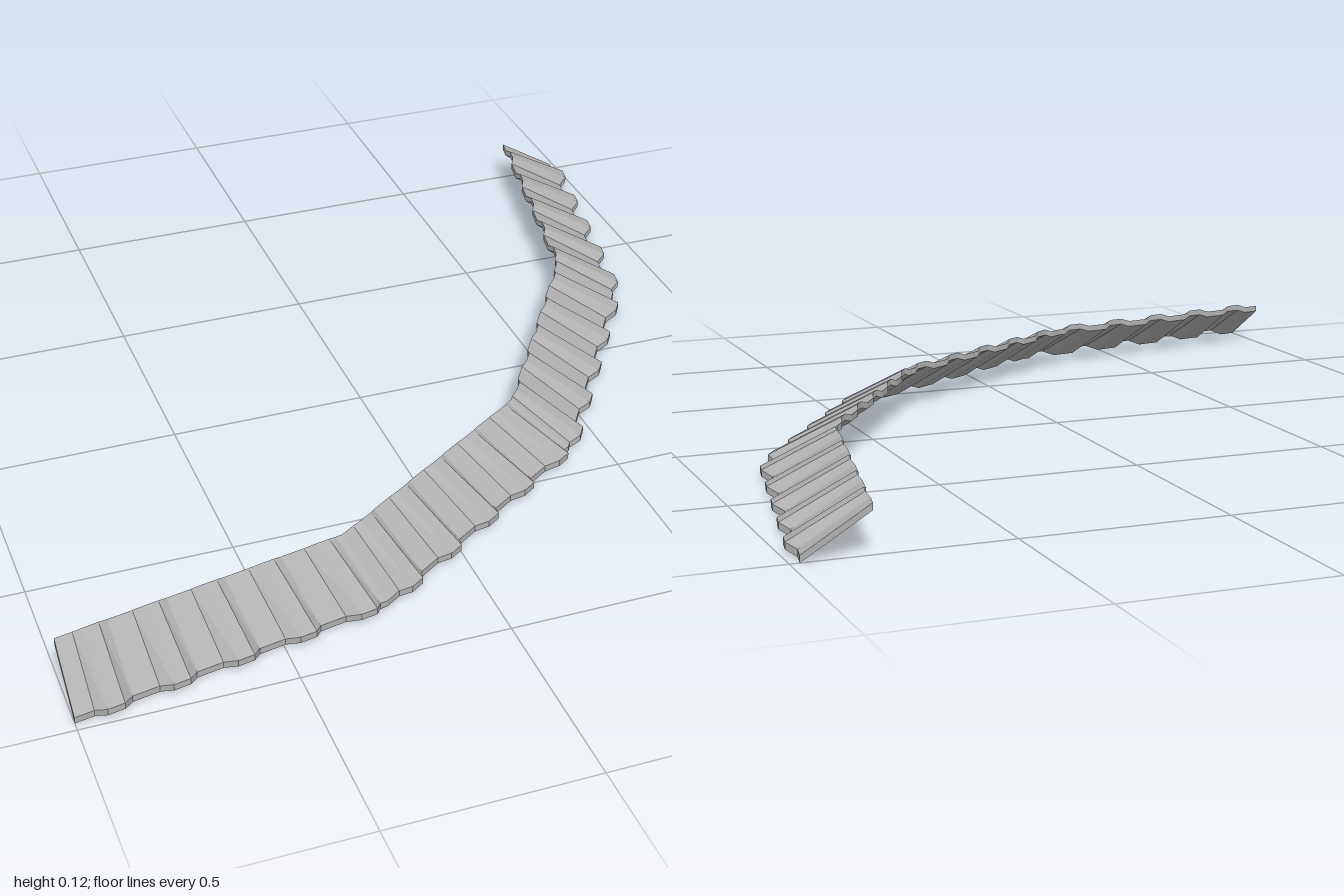
import * as THREE from 'three';

// Plan corners of half the strip: [inner x, inner z, outer x, outer z]
const half = [
  [-1, 0.82, -1, 0.978],
  [-0.29, 0.68, -0.235, 0.832],
  [0.295, 0.295, 0.407, 0.407],
];
const RIBS = 5;
// One corrugation: [position along the period, rib height 0..1]
const rib = [[0, 0], [0.3, 0], [0.46, 1], [0.72, 1], [0.88, 0]];
const THICK = 0.016;

// Cross-section at one station: inner top, outer top, outer bottom, inner bottom
function section([ix, iz, ox, oz], h) {
  const len = Math.hypot(ox - ix, oz - iz);
  const nx = (ox - ix) / len, nz = (oz - iz) / len;
  const inner = [ix + nx * 0.008 * h, 0.112 + 0.008 * h, iz + nz * 0.008 * h];
  const outer = [ox + nx * 0.024 * h, 0.017 + 0.011 * h, oz + nz * 0.024 * h];
  const drop = ([x, y, z]) => [x, y - THICK, z];
  return [inner, outer, drop(outer), drop(inner)];
}

function createSections() {
  const stations = [];
  for (let s = 0; s < half.length - 1; s++) {
    for (let k = 0; k < RIBS; k++) {
      for (const [t, h] of rib) {
        const f = (k + t) / RIBS;
        stations.push([half[s].map((v, i) => v + (half[s + 1][i] - v) * f), h]);
      }
    }
  }
  // The other half mirrors across the diagonal x = z
  const mirrored = stations.map(([[a, b, c, d], h]) => [[b, a, d, c], h]).reverse();
  return [...stations, [half[2], 0], ...mirrored].map(([p, h]) => section(p, h));
}

export function createModel() {
  const group = new THREE.Group();
  group.name = 'curvedCorrugatedRoof';

  const rings = createSections();
  const pos = [];
  const quad = (a, b, c, d) => pos.push(...a, ...b, ...c, ...a, ...c, ...d);
  for (let s = 0; s < rings.length - 1; s++) {
    const p = rings[s], q = rings[s + 1];
    for (let i = 0; i < 4; i++) {
      const j = (i + 1) % 4;
      quad(p[i], p[j], q[j], q[i]);
    }
  }
  // End caps
  const first = rings[0], last = rings[rings.length - 1];
  quad(first[0], first[3], first[2], first[1]);
  quad(last[0], last[1], last[2], last[3]);

  const geometry = new THREE.BufferGeometry();
  geometry.setAttribute('position', new THREE.Float32BufferAttribute(pos, 3));
  geometry.computeVertexNormals();

  const metal = new THREE.MeshStandardMaterial({ color: 0xb0b0b0 });
  metal.name = 'greyMetal';
  const sheet = new THREE.Mesh(geometry, metal);
  sheet.name = 'corrugatedSheet';
  group.add(sheet);
  return group;
}
